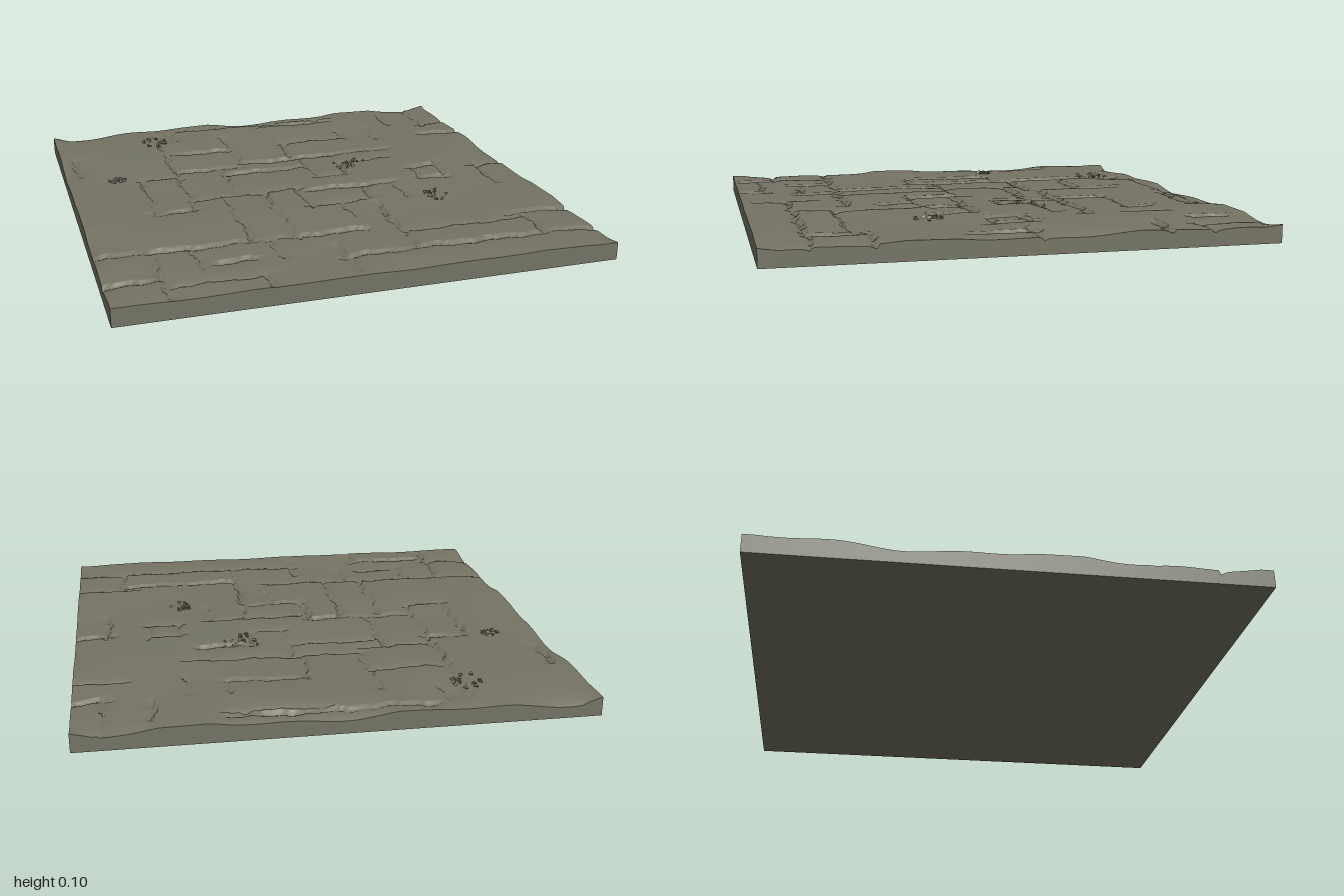
import * as THREE from 'three';

const N = 200; // grid cells along each side

// Joints running along x: [z, x start, x end]
const ALONG_X = [
  [-0.93, -0.36, 0.42], [-0.9, 0.04, 0.42], [-0.58, -0.5, -0.2], [-0.6, 0.08, 0.4],
  [-0.38, -0.18, 0.55], [-0.33, -0.5, -0.2], [-0.25, -0.68, -0.5], [-0.25, -0.28, 0.08],
  [-0.09, 0.1, 0.25], [0.05, -0.5, -0.03], [0.08, 0, 0.42], [0.16, -0.7, -0.51],
  [0.27, -0.04, 0.2], [0.55, -0.78, -0.35], [0.56, -0.32, 0.1], [0.64, 0.25, 0.78],
  [0.8, -1, -0.78], [0.81, -0.08, 1], [0.88, -0.75, -0.4], [0.71, -0.55, -0.4],
  [-0.55, 0.8, 1], [-0.71, 0.85, 1], [-0.08, 0.55, 0.68], [0.06, 0.55, 0.68],
  [-0.03, 0.84, 1], [0.54, -0.97, -0.82], [0.58, 0.72, 1], [-0.23, 0.25, 0.48],
];
// Joints running along z: [x, z start, z end]
const ALONG_Z = [
  [-0.51, -0.88, 0.14], [-0.19, -0.76, -0.58], [-0.18, -0.55, -0.38], [0.07, -0.6, -0.4],
  [0.1, -0.37, -0.09], [-0.3, -0.32, 0.04], [-0.68, -0.25, 0.16], [-0.37, 0.08, 0.53],
  [-0.19, 0.06, 0.57], [-0.04, 0.07, 0.27], [0.24, 0.09, 0.22], [0.24, 0.3, 0.8],
  [0.4, 0.1, 0.26], [0.1, 0.28, 0.42], [-0.78, 0.55, 0.8], [-0.3, 0.56, 0.73],
  [-0.62, 0.58, 0.74], [-0.06, 0.7, 0.93], [-0.4, 0.87, 0.97], [0.78, 0.6, 0.81],
  [0.56, -0.7, -0.55], [0.4, -0.7, -0.6], [0.7, -0.9, -0.76], [0.88, -0.98, -0.7],
  [0.55, -0.08, 0.06], [0.68, -0.1, 0.06], [0.25, -0.22, -0.09], [0.86, -0.05, 0.2],
  [-0.94, -0.62, -0.42], [-0.42, -0.9, -0.8], [-0.78, 0.82, 0.96],
];
// Heaps of stone chips: [x, z, radius]
const HEAPS = [[-0.52, -0.77, 0.07], [0.3, -0.19, 0.09], [0.53, 0.3, 0.06], [-0.78, -0.27, 0.04]];

function seeded(seed) {
  return () => {
    seed = (seed * 16807) % 2147483647;
    return seed / 2147483647;
  };
}

// Depth cut by one joint: a steep lip on one side, a worn slope on the other
function jointDepth(along, across, [pos, start, end], i) {
  const out = Math.max(start - along, along - end, 0);
  if (out > 0.04) return 0;
  const wobble = 0.007 * Math.sin(along * 23 + i * 2.1) + 0.004 * Math.sin(along * 61 + i);
  const d = (across - pos - wobble) * (i % 3 === 0 ? -1 : 1);
  const profile = d < 0 ? Math.max(0, 1 + d / 0.01) : 0.6 * Math.exp(-d / 0.012) + 0.4 * Math.exp(-d / 0.05);
  return (0.017 + 0.004 * Math.sin(i * 5 + along * 9)) * profile * (1 - out / 0.04);
}

function surfaceHeight(x, z) {
  const swell = 0.003 * Math.sin(x * 5.1 + 1.7 * Math.sin(z * 3.7)) + 0.003 * Math.sin(z * 6.3 + x * 2.2 + 1);
  let depth = 0;
  ALONG_X.forEach((j, i) => { depth = Math.max(depth, jointDepth(x, z, j, i)); });
  ALONG_Z.forEach((j, i) => { depth = Math.max(depth, jointDepth(z, x, j, i + 40)); });
  // Worn, wavy rims; the back and left ones are the most eroded
  const rim = (dist, t, amount, seed) => amount * Math.exp(-dist / 0.05) *
    Math.max(0, 0.45 + 0.5 * Math.sin(t * 6.5 + seed) + 0.3 * Math.sin(t * 15 + seed * 2)) *
    Math.min(1, (1 - Math.abs(t)) / 0.08);
  const wear = rim(1 + z, x, 0.024, 1) + rim(1 + x, z, 0.022, 4) + rim(1 - x, z, 0.014, 2.5) + rim(1 - z, x, 0.006, 6);
  return Math.max(0.03, Math.min(0.08, 0.076 + swell) - depth - wear);
}

// Square sheet of paving with its points raised to the stone surface
function makeTop() {
  const geo = new THREE.PlaneGeometry(2, 2, N, N).rotateX(-Math.PI / 2);
  const p = geo.attributes.position;
  for (let i = 0; i < p.count; i++) p.setY(i, surfaceHeight(p.getX(i), p.getZ(i)));
  geo.computeVertexNormals();
  return geo;
}

// Upright wall whose upper edge follows the stone surface
function makeSide(turn) {
  const geo = new THREE.PlaneGeometry(2, 2, N, 1).translate(0, 0, 1).rotateY(turn);
  const p = geo.attributes.position;
  for (let i = 0; i < p.count; i++) {
    p.setY(i, p.getY(i) > 0 ? surfaceHeight(p.getX(i), p.getZ(i)) : 0);
  }
  geo.computeVertexNormals();
  return geo;
}

export function createModel() {
  const group = new THREE.Group();
  group.name = 'stoneFloor';
  const stone = new THREE.MeshStandardMaterial({ color: 0x747364 });
  stone.name = 'grey stone';
  const add = (geo, name) => {
    const mesh = new THREE.Mesh(geo, stone);
    mesh.name = name;
    group.add(mesh);
    return mesh;
  };

  add(makeTop(), 'pavingSurface');
  ['frontSide', 'leftSide', 'backSide', 'rightSide'].forEach((name, i) => add(makeSide(i * Math.PI / 2), name));
  add(new THREE.PlaneGeometry(2, 2).rotateX(Math.PI / 2), 'underside');

  // Loose chips, flattened and half sunk into the paving
  const rand = seeded(71);
  const chip = new THREE.TetrahedronGeometry(1);
  for (const [x, z, radius] of HEAPS) {
    for (let i = 0; i < 14; i++) {
      const a = rand() * Math.PI * 2, r = radius * Math.sqrt(rand());
      const cx = x + r * Math.cos(a), cz = z + r * Math.sin(a);
      const mesh = add(chip, 'stoneChip');
      mesh.position.set(cx, surfaceHeight(cx, cz) + 0.003, cz);
      mesh.rotation.set(rand() * 0.6, rand() * 6, rand() * 0.6);
      mesh.scale.set(0.008 + 0.016 * rand(), 0.008 + 0.009 * rand(), 0.006 + 0.008 * rand());
    }
  }
  return group;
}
